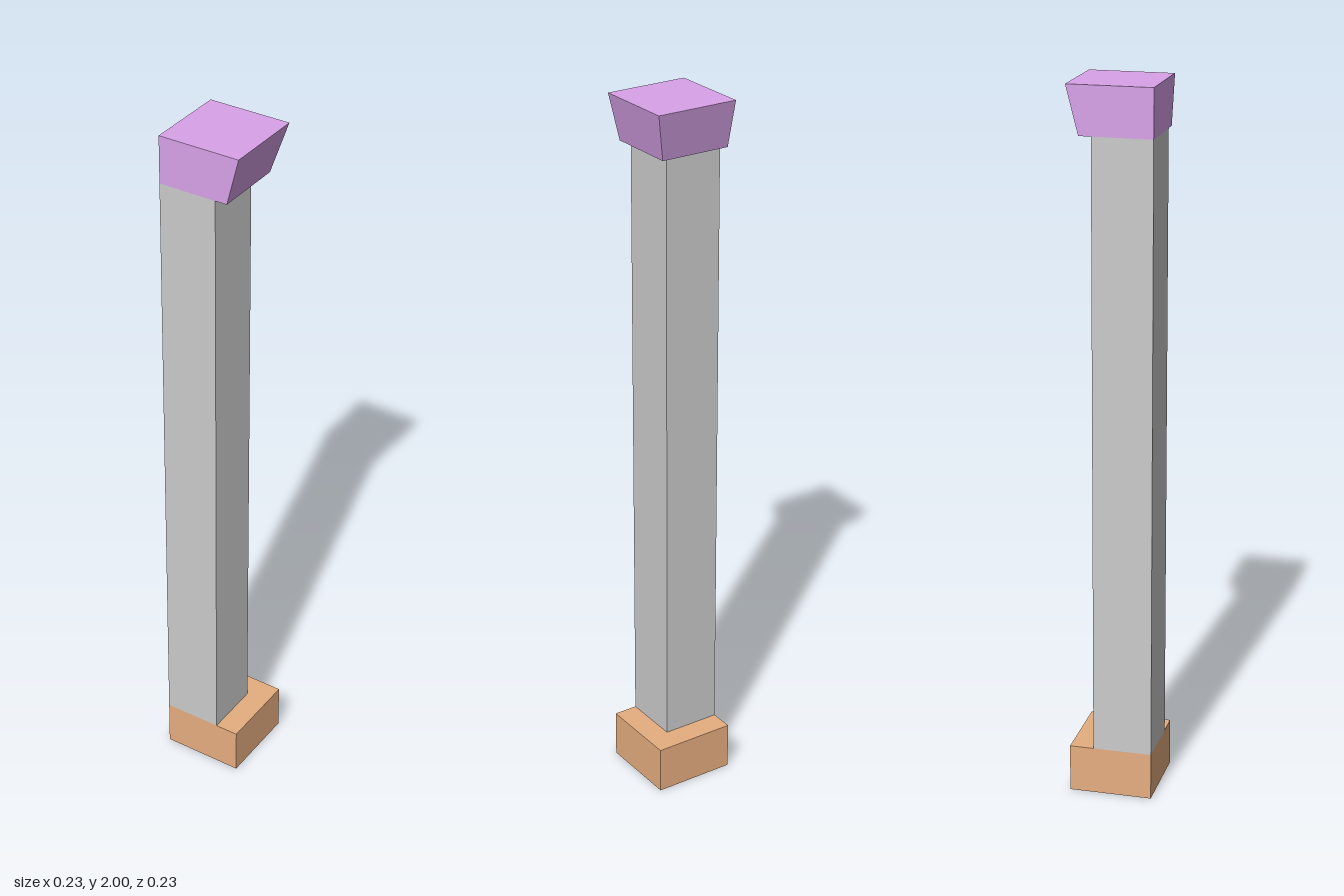
import * as THREE from 'three';

const HALF = 0.117;  // half width of the base and the cap top
const SHAFT = 0.166; // shaft width
const BASE_H = 0.135, CAP_Y = 1.867, TOP = 2;

// Box standing flush with the shared corner at (-x, +z)
function cornerBox(width, y0, y1) {
  const geometry = new THREE.BoxGeometry(width, y1 - y0, width);
  geometry.translate(-HALF + width / 2, (y0 + y1) / 2, HALF - width / 2);
  return geometry;
}

function part(name, geometry, color) {
  const mesh = new THREE.Mesh(geometry, new THREE.MeshStandardMaterial({ color, flatShading: true }));
  mesh.name = name;
  return mesh;
}

export function createModel() {
  const group = new THREE.Group();
  group.name = 'cornerPillar';

  // Square base block and the tall shaft set into its corner
  group.add(part('base', cornerBox(2 * HALF, 0, BASE_H), 0xe6ae80));
  group.add(part('shaft', cornerBox(SHAFT, BASE_H, CAP_Y), 0xcccccc));

  // Cap: flush on the two corner sides, sloping inwards below on the other two
  const cap = cornerBox(2 * HALF, CAP_Y, TOP);
  const p = cap.attributes.position;
  const inset = 0.034;
  for (let i = 0; i < p.count; i++) {
    if (p.getY(i) > (CAP_Y + TOP) / 2) continue;
    if (p.getX(i) > 0) p.setX(i, HALF - inset);
    if (p.getZ(i) < 0) p.setZ(i, -HALF + inset);
  }
  cap.computeVertexNormals();
  group.add(part('cap', cap, 0xd9a3e9));

  return group;
}
